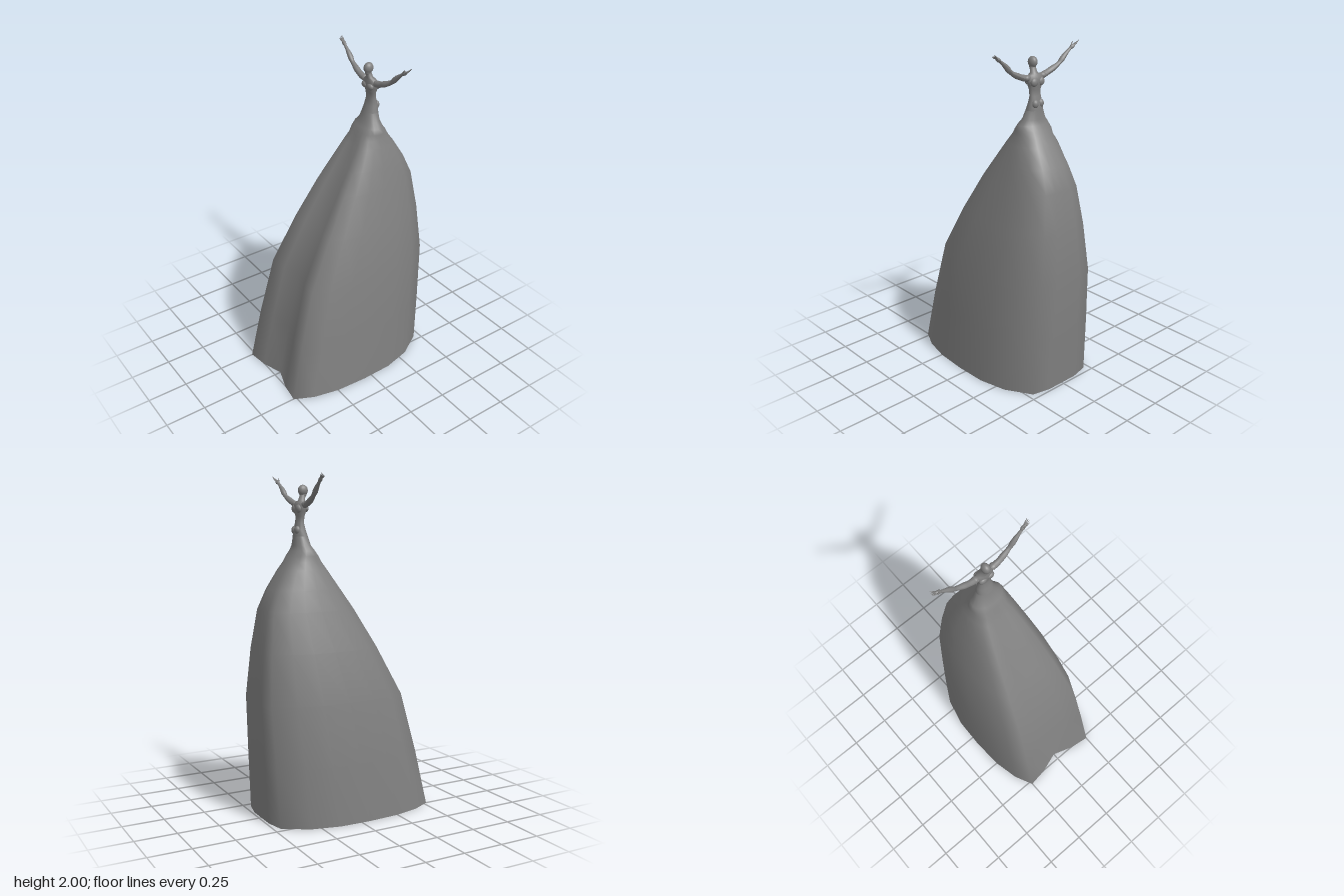
import * as THREE from 'three';

const stone = new THREE.MeshStandardMaterial({ color: 0x808080, side: THREE.DoubleSide });
stone.name = 'grey stone';

// Half outline of the gown hem, from the notch in the train round to the front
const HALF = [[-0.88, 0], [-0.965, 0.36], [-1, 0.71], [-0.77, 0.87], [-0.46, 0.97], [-0.07, 1],
  [0.31, 0.985], [0.65, 0.87], [0.95, 0.61], [1, 0.3], [1, 0]];
const RING = [...HALF, ...HALF.slice(1, -1).reverse().map(([u, v]) => [u, -v])];

// Loft of rows [y, xMin, xMax, halfDepth, roundness]
function loft(rows) {
  const pos = [], idx = [], n = RING.length;
  for (const [y, x0, x1, d, round] of rows) {
    for (const [u, v] of RING) {
      const a = Math.atan2(v, u);
      const cu = THREE.MathUtils.lerp(u, Math.cos(a), round);
      const cv = THREE.MathUtils.lerp(v, Math.sin(a), round);
      pos.push((x0 + x1) / 2 + cu * (x1 - x0) / 2, y, cv * d);
    }
  }
  for (let r = 0; r < rows.length - 1; r++) {
    for (let i = 0; i < n; i++) {
      const a = r * n + i, b = r * n + (i + 1) % n;
      idx.push(a, b, a + n, b, b + n, a + n);
    }
  }
  const g = new THREE.BufferGeometry();
  g.setAttribute('position', new THREE.Float32BufferAttribute(pos, 3));
  g.setIndex(idx);
  g.computeVertexNormals();
  return g;
}

// Tapered limb through points, with radii spread evenly along it
function limb(points, radii, seg = 24, sides = 10) {
  const curve = new THREE.CatmullRomCurve3(points.map(p => new THREE.Vector3(...p)));
  const g = new THREE.TubeGeometry(curve, seg, 1, sides);
  const p = g.attributes.position, v = new THREE.Vector3();
  for (let j = 0; j <= seg; j++) {
    const c = curve.getPointAt(j / seg), f = j / seg * (radii.length - 1);
    const k = Math.min(Math.floor(f), radii.length - 2);
    const r = THREE.MathUtils.lerp(radii[k], radii[k + 1], f - k);
    for (let i = 0; i <= sides; i++) {
      const q = j * (sides + 1) + i;
      v.fromBufferAttribute(p, q).sub(c).multiplyScalar(r).add(c);
      p.setXYZ(q, v.x, v.y, v.z);
    }
  }
  g.computeVertexNormals();
  return g;
}

export function createModel() {
  const model = new THREE.Group();
  const add = (name, geometry, parent = model) => {
    const m = new THREE.Mesh(geometry, stone);
    m.name = name;
    parent.add(m);
    return m;
  };
  const blob = (name, x, y, z, rx, ry, rz) => {
    const m = add(name, new THREE.SphereGeometry(1, 16, 12));
    m.position.set(x, y, z);
    m.scale.set(rx, ry, rz);
    return m;
  };

  // Gown with open hem and grooved train
  add('gown', loft([
    [0, -0.52, 0.485, 0.355, 0], [0.35, -0.44, 0.5, 0.335, 0], [0.71, -0.345, 0.515, 0.305, 0],
    [1, -0.195, 0.49, 0.25, 0], [1.23, -0.06, 0.455, 0.195, 0], [1.35, 0.015, 0.405, 0.163, 0.1],
    [1.46, 0.083, 0.34, 0.133, 0.3], [1.505, 0.108, 0.31, 0.113, 0.5], [1.54, 0.125, 0.292, 0.112, 0.7],
    [1.57, 0.142, 0.272, 0.1, 0.9], [1.6, 0.162, 0.262, 0.075, 1], [1.65, 0.176, 0.258, 0.055, 1],
  ]));

  // Torso from hips to neck
  add('torso', loft([
    [1.65, 0.176, 0.258, 0.055, 1], [1.69, 0.19, 0.255, 0.047, 1], [1.73, 0.2, 0.243, 0.038, 1],
    [1.765, 0.197, 0.24, 0.04, 1], [1.795, 0.186, 0.25, 0.049, 1], [1.825, 0.186, 0.25, 0.06, 1],
    [1.845, 0.19, 0.24, 0.045, 1], [1.855, 0.189, 0.228, 0.022, 1], [1.89, 0.182, 0.215, 0.016, 1],
  ]));

  // Head
  blob('head', 0.199, 1.912, 0, 0.03, 0.032, 0.024);
  blob('jaw', 0.198, 1.892, 0, 0.02, 0.026, 0.018);

  for (const s of [1, -1]) {
    const side = s > 0 ? 'front' : 'rear';
    // Muscles of the trunk
    blob(side + 'ChestMuscle', 0.195, 1.808, s * 0.024, 0.016, 0.02, 0.025);
    blob(side + 'ShoulderBlade', 0.24, 1.808, s * 0.025, 0.016, 0.024, 0.024);
    blob(side + 'Hip', 0.244, 1.687, s * 0.02, 0.018, 0.024, 0.02);
    blob(side + 'Shoulder', 0.216, 1.833, s * 0.062, 0.02, 0.018, 0.024);

    // Arm from shoulder to wrist
    add(side + 'Arm', limb(
      [[0.214, 1.828, s * 0.05], [0.214, 1.843, s * 0.1], [0.222, 1.882, s * 0.18], [0.225, 1.925, s * 0.225], [0.228, 1.957, s * 0.265]],
      [0.018, 0.019, 0.017, 0.018, 0.015, 0.012, 0.016, 0.014, 0.01, 0.008]));

    // Hand with spread fingers
    const hand = new THREE.Group();
    hand.name = side + 'Hand';
    model.add(hand);
    add('palm', limb([[0.228, 1.955, s * 0.262], [0.23, 1.966, s * 0.278], [0.232, 1.975, s * 0.294]],
      [0.008, 0.012, 0.011, 0.005], 8, 8), hand);
    for (let i = 0; i < 4; i++) {
      const t = i - 1.5;
      add('finger', limb([[0.231 + t * 0.004, 1.971, s * 0.287], [0.232 + t * 0.006, 1.983 + t * 0.003, s * 0.304],
        [0.234 + t * 0.007, 1.991 + t * 0.005, s * (0.319 - Math.abs(t) * 0.003)]],
        [0.004, 0.0035, 0.001], 6, 6), hand);
    }
    add('thumb', limb([[0.228, 1.965, s * 0.272], [0.219, 1.98, s * 0.282], [0.217, 1.99, s * 0.292]],
      [0.005, 0.004, 0.001], 6, 6), hand);
  }
  return model;
}
